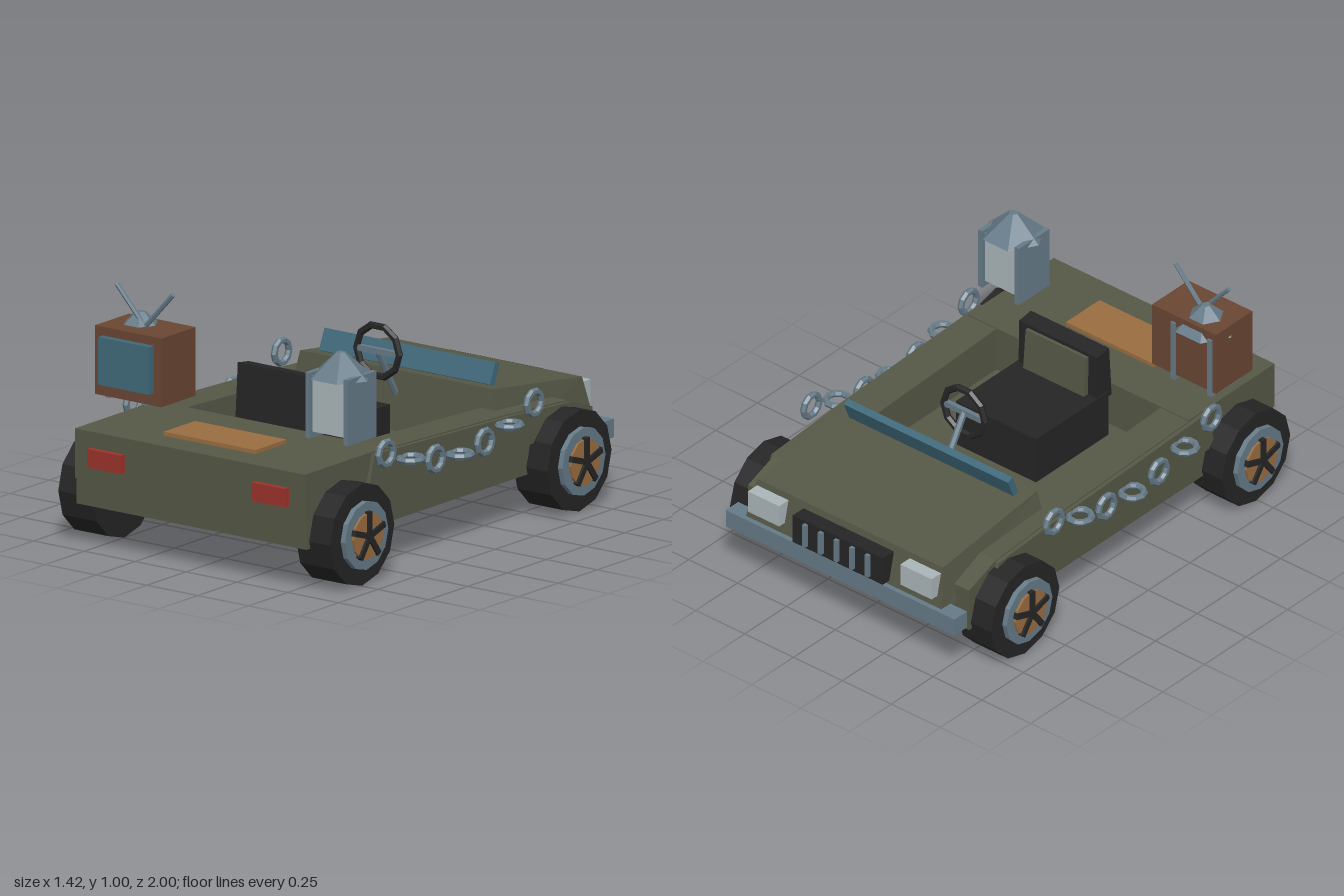
import * as THREE from 'three';

const mat = (name, color) => {
  const m = new THREE.MeshStandardMaterial({ color });
  m.name = name;
  return m;
};

export function createModel() {
  const olive = mat('olive paint', 0x555846);
  const black = mat('black rubber', 0x252525);
  const steel = mat('steel', 0x667b88);
  const teal = mat('teal glass', 0x40697a);
  const brown = mat('brown wood', 0x6a4633);
  const tan = mat('tan', 0x9a6d40);
  const red = mat('red lens', 0x9c332b);
  const pale = mat('pale glass', 0xabb6b9);

  const car = new THREE.Group();
  car.name = 'openCar';

  const add = (name, geo, material, parent = car) => {
    // separate triangles give crisp facets without flat shading artefacts
    const g = geo.index ? geo.toNonIndexed() : geo;
    g.computeVertexNormals();
    const m = new THREE.Mesh(g, material);
    m.name = name;
    parent.add(m);
    return m;
  };
  // box from its extents
  const box = (name, material, x0, x1, y0, y1, z0, z1, parent = car) => {
    const m = add(name, new THREE.BoxGeometry(Math.abs(x1 - x0), y1 - y0, z1 - z0), material, parent);
    m.position.set((x0 + x1) / 2, (y0 + y1) / 2, (z0 + z1) / 2);
    return m;
  };
  // side profile of [z, y] points, extruded from x0 to x1
  const slab = (name, material, points, x0, x1, parent = car) => {
    const shape = new THREE.Shape(points.map(([z, y]) => new THREE.Vector2(-z, y)));
    const g = new THREE.ExtrudeGeometry(shape, { depth: x1 - x0, bevelEnabled: false });
    g.rotateY(Math.PI / 2);
    g.translate(x0, 0, 0);
    return add(name, g, material, parent);
  };
  // straight rod between two points
  const rod = (name, material, a, b, r, parent = car) => {
    const from = new THREE.Vector3(...a), to = new THREE.Vector3(...b);
    const dir = to.clone().sub(from);
    const m = add(name, new THREE.CylinderGeometry(r, r, dir.length(), 6), material, parent);
    m.position.copy(from).add(to).multiplyScalar(0.5);
    m.quaternion.setFromUnitVectors(new THREE.Vector3(0, 1, 0), dir.normalize());
    return m;
  };

  // Lower hull, rear deck and sides of the open cockpit
  box('lowerHull', olive, -0.565, 0.565, 0.175, 0.285, -0.86, 0.965);
  slab('rearDeck', olive, [[0.46, 0.28], [0.975, 0.28], [0.975, 0.48], [0.46, 0.48]], -0.565, 0.565);
  const wall = [[0.46, 0.28], [0.46, 0.475], [-0.32, 0.445], [-0.7, 0.42], [-0.86, 0.36], [-0.86, 0.28]];
  const panel = [[0.6, 0.3], [0.55, 0.475], [0.46, 0.47], [-0.32, 0.44], [-0.7, 0.415], [-0.74, 0.3]];
  for (const s of [-1, 1]) {
    slab('cockpitWall', olive, wall, s > 0 ? 0.42 : -0.565, s > 0 ? 0.565 : -0.42);
    slab('sidePanel', olive, panel, s > 0 ? 0.56 : -0.582, s > 0 ? 0.582 : -0.56);
  }

  // Tapered bonnet: a box whose corners are moved
  const hood = new THREE.BoxGeometry(2, 2, 2);
  const p = hood.attributes.position;
  for (let i = 0; i < p.count; i++) {
    const top = p.getY(i) > 0, back = p.getZ(i) > 0;
    const w = top ? 0.475 : back ? 0.525 : 0.5;
    p.setXYZ(i, Math.sign(p.getX(i)) * w,
      top ? (back ? 0.525 : 0.455) : 0.285,
      back ? (top ? -0.345 : -0.32) : (top ? -0.91 : -0.95));
  }
  add('bonnet', hood, olive);

  // Low windscreen
  const screen = box('windscreen', teal, -0.42, 0.42, 0.515, 0.605, -0.44, -0.41);
  screen.rotation.x = -0.4;

  // Grille, headlights, bumper and tail lights
  box('grille', black, -0.23, 0.23, 0.305, 0.43, -0.985, -0.92);
  for (let i = -2; i <= 2; i++) {
    box('grilleBar', steel, i * 0.08 - 0.009, i * 0.08 + 0.009, 0.32, 0.42, -1, -0.98);
  }
  box('bumper', steel, -0.585, 0.585, 0.215, 0.29, -0.97, -0.895);
  for (const s of [-1, 1]) {
    box('headlight', pale, s * 0.31, s * 0.47, 0.335, 0.43, -0.972, -0.915);
    box('tailLight', red, s * 0.32, s * 0.487, 0.34, 0.415, 0.97, 1);
  }
  box('deckPlate', tan, -0.225, 0.225, 0.475, 0.496, 0.65, 0.85);

  // Seat
  const seat = new THREE.Group();
  seat.name = 'seat';
  car.add(seat);
  box('seatCushion', black, -0.205, 0.205, 0.285, 0.487, -0.035, 0.4, seat);
  slab('seatBack', black, [[0.335, 0.46], [0.425, 0.46], [0.41, 0.685], [0.34, 0.675]], -0.2, 0.2, seat);
  slab('seatPad', olive, [[0.31, 0.48], [0.36, 0.48], [0.36, 0.66], [0.325, 0.66]], -0.155, 0.155, seat);

  // Steering wheel and column
  const wheelRim = add('steeringWheel', new THREE.TorusGeometry(0.105, 0.015, 6, 10), black);
  wheelRim.position.set(0, 0.627, -0.225);
  box('steeringSpoke', steel, -0.1, 0.1, 0.615, 0.639, -0.235, -0.215);
  rod('steeringColumn', steel, [0, 0.627, -0.225], [0, 0.43, -0.34], 0.014);

  // Road wheels, built along +x and turned for the other side
  const disc = (name, material, r, x0, x1, parent) => {
    const g = new THREE.CylinderGeometry(r, r, x1 - x0, 12);
    g.rotateZ(-Math.PI / 2);
    g.translate((x0 + x1) / 2, 0, 0);
    add(name, g, material, parent);
  };
  for (const s of [-1, 1]) for (const z of [0.743, -0.643]) {
    const wheel = new THREE.Group();
    wheel.name = 'wheel';
    wheel.position.set(0, 0.205, z);
    wheel.rotation.y = s > 0 ? 0 : Math.PI;
    disc('tyre', black, 0.205, 0.5, 0.668, wheel);
    disc('rim', steel, 0.138, 0.66, 0.69, wheel);
    disc('hub', tan, 0.095, 0.68, 0.7, wheel);
    for (let i = 0; i < 5; i++) {
      const g = new THREE.BoxGeometry(0.03, 0.1, 0.024);
      g.translate(0.695, 0.05, 0);
      g.rotateX(i * Math.PI * 0.4);
      add('spoke', g, black, wheel);
    }
    car.add(wheel);
  }

  // Hanging chains: upright and flat links alternate
  const heights = [0.48, 0.425, 0.39, 0.375, 0.39, 0.425, 0.48];
  for (const s of [-1, 1]) heights.forEach((y, i) => {
    const link = add('chainLink', new THREE.TorusGeometry(0.047, 0.014, 6, 10), steel);
    link.position.set(s * 0.62, y, 0.53 - i * 0.1575);
    if (i % 2) link.rotation.x = Math.PI / 2;
    else link.rotation.y = Math.PI / 2;
  });

  // Lanterns on both rear corners
  for (const s of [-1, 1]) {
    const lantern = new THREE.Group();
    lantern.name = 'lantern';
    lantern.position.set(s * 0.492, 0, 0.65);
    car.add(lantern);
    box('lanternGlass', pale, -0.083, 0.083, 0.575, 0.8, -0.075, 0.075, lantern);
    for (const t of [-1, 1]) box('lanternSide', steel, t * 0.083, t * 0.104, 0.55, 0.815, -0.092, 0.092, lantern);
    const roof = add('lanternRoof', new THREE.CylinderGeometry(0.018, 0.128, 0.1, 6), steel, lantern);
    roof.position.y = 0.845;
    roof.rotation.y = Math.PI / 6;
  }

  // Television with aerial
  const tv = new THREE.Group();
  tv.name = 'television';
  car.add(tv);
  box('televisionCase', brown, -0.613, -0.286, 0.57, 0.847, 0.567, 0.785, tv);
  box('televisionScreen', teal, -0.575, -0.325, 0.62, 0.812, 0.78, 0.815, tv);
  for (const s of [-1, 1]) rod('aerial', steel, [-0.45, 0.845, 0.677], [-0.45 + s * 0.137, 0.995, 0.677], 0.01, tv);

  return car;
}
